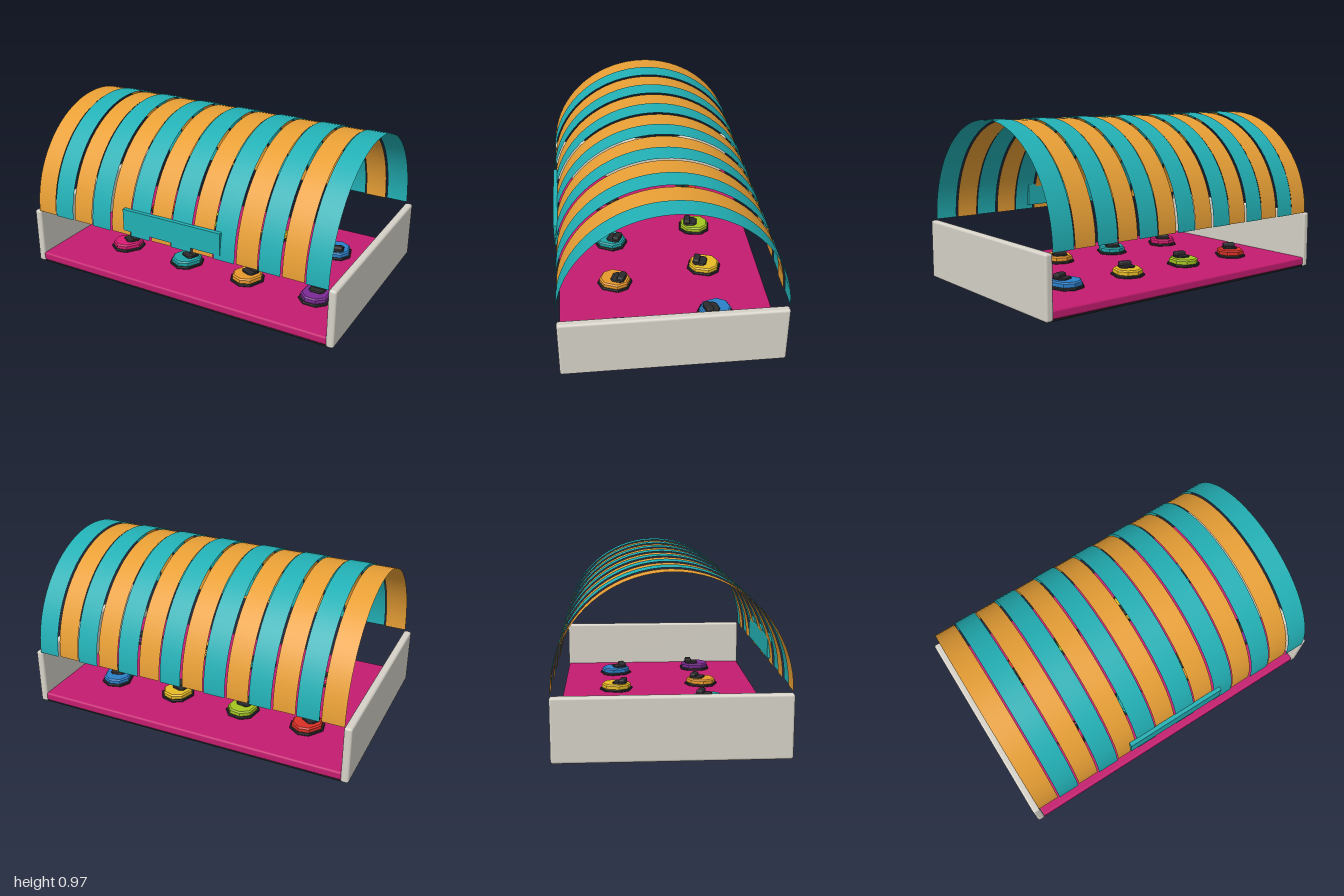
import * as THREE from 'three';
import { RoundedBoxGeometry } from 'three/addons/geometries/RoundedBoxGeometry.js';

const mat = (color, opts = {}) => new THREE.MeshStandardMaterial({ color, ...opts });

function add(parent, name, geometry, material, x = 0, y = 0, z = 0) {
  const mesh = new THREE.Mesh(geometry, material);
  mesh.name = name;
  mesh.position.set(x, y, z);
  parent.add(mesh);
  return mesh;
}

// Flat slab with cut corners and a small bevel, lying on y = 0
function cutCornerSlab(width, length, height, cut, bevel) {
  const w = width / 2 - bevel, l = length / 2 - bevel;
  const shape = new THREE.Shape([
    [w - cut, -l], [w, -l + cut], [w, l - cut], [w - cut, l],
    [-w + cut, l], [-w, l - cut], [-w, -l + cut], [-w + cut, -l],
  ].map(([x, y]) => new THREE.Vector2(x, y)));
  const geometry = new THREE.ExtrudeGeometry(shape, {
    depth: height - 2 * bevel, bevelEnabled: true, bevelSize: bevel,
    bevelThickness: bevel, bevelSegments: 1,
  });
  return geometry.rotateX(-Math.PI / 2).translate(0, bevel, 0);
}

export function createModel() {
  const model = new THREE.Group();
  model.name = 'bumperCarPavilion';
  const teal = 0x22b0b5, orange = 0xe89f35;
  const dark = mat(0x2b2b2e);

  // Floor with a dark underside
  add(model, 'underside', new THREE.BoxGeometry(1.92, 0.012, 1.22), mat(0x1c1c1f), 0, 0.006, 0);
  add(model, 'floor', new RoundedBoxGeometry(1.92, 0.05, 1.235, 2, 0.012), mat(0xc41c70), 0, 0.035, 0);

  // End walls
  const wallGeometry = new RoundedBoxGeometry(0.046, 0.347, 1.24, 3, 0.014);
  const wallMaterial = mat(0xd6d2c8);
  for (const side of [-1, 1]) {
    add(model, side > 0 ? 'leftWall' : 'rightWall', wallGeometry, wallMaterial, side * 0.977, 0.1735, 0);
  }

  // Barrel roof of alternating thin hoops
  const roof = new THREE.Group();
  roof.name = 'roof';
  model.add(roof);
  const pitch = 0.1377;
  const hoops = [[0.617, orange], [0.623, teal]].map(([radius, color]) => ({
    geometry: new THREE.CylinderGeometry(radius, radius, 0.129, 40, 1, true, 0, Math.PI).rotateZ(Math.PI / 2),
    material: mat(color, { side: THREE.DoubleSide }),
  }));
  for (let i = 0; i < 14; i++) {
    const { geometry, material } = hoops[i % 2];
    add(roof, 'roofHoop', geometry, material, (i - 6.5) * pitch, 0.349, 0);
  }

  // Front sign board
  add(model, 'signBoard', new THREE.BoxGeometry(0.64, 0.133, 0.025), mat(teal), 0, 0.443, 0.612);

  // Bumper cars in two rows, noses outwards
  const bumperGeometry = cutCornerSlab(0.175, 0.195, 0.016, 0.045, 0.004);
  const bodyGeometry = cutCornerSlab(0.155, 0.175, 0.036, 0.04, 0.008);
  const cockpitGeometry = cutCornerSlab(0.09, 0.085, 0.012, 0.015, 0.003);
  const seatGeometry = new RoundedBoxGeometry(0.075, 0.034, 0.04, 2, 0.009);
  const cars = [
    // x, z, yaw, colour
    [-0.55, 0.28, -0.6, 0xd81b72], [-0.11, 0.28, -0.45, 0x1fa5a8],
    [0.31, 0.28, -0.4, 0xe8992c], [0.75, 0.28, 0, 0x7b2a94],
    [-0.64, -0.28, Math.PI - 0.6, 0xd93025], [-0.23, -0.28, Math.PI - 0.15, 0xa4c520],
    [0.21, -0.28, Math.PI - 0.3, 0xe8bc25], [0.645, -0.28, Math.PI + 0.3, 0x2c80c9],
  ];
  for (const [x, z, yaw, color] of cars) {
    const car = new THREE.Group();
    car.name = 'bumperCar';
    car.position.set(x, 0.059, z);
    car.rotation.y = yaw;
    model.add(car);
    add(car, 'bumper', bumperGeometry, dark);
    add(car, 'body', bodyGeometry, mat(color), 0, 0.009, 0);
    add(car, 'cockpit', cockpitGeometry, dark, 0, 0.041, -0.025);
    add(car, 'seat', seatGeometry, dark, 0, 0.058, -0.045);
  }
  return model;
}
